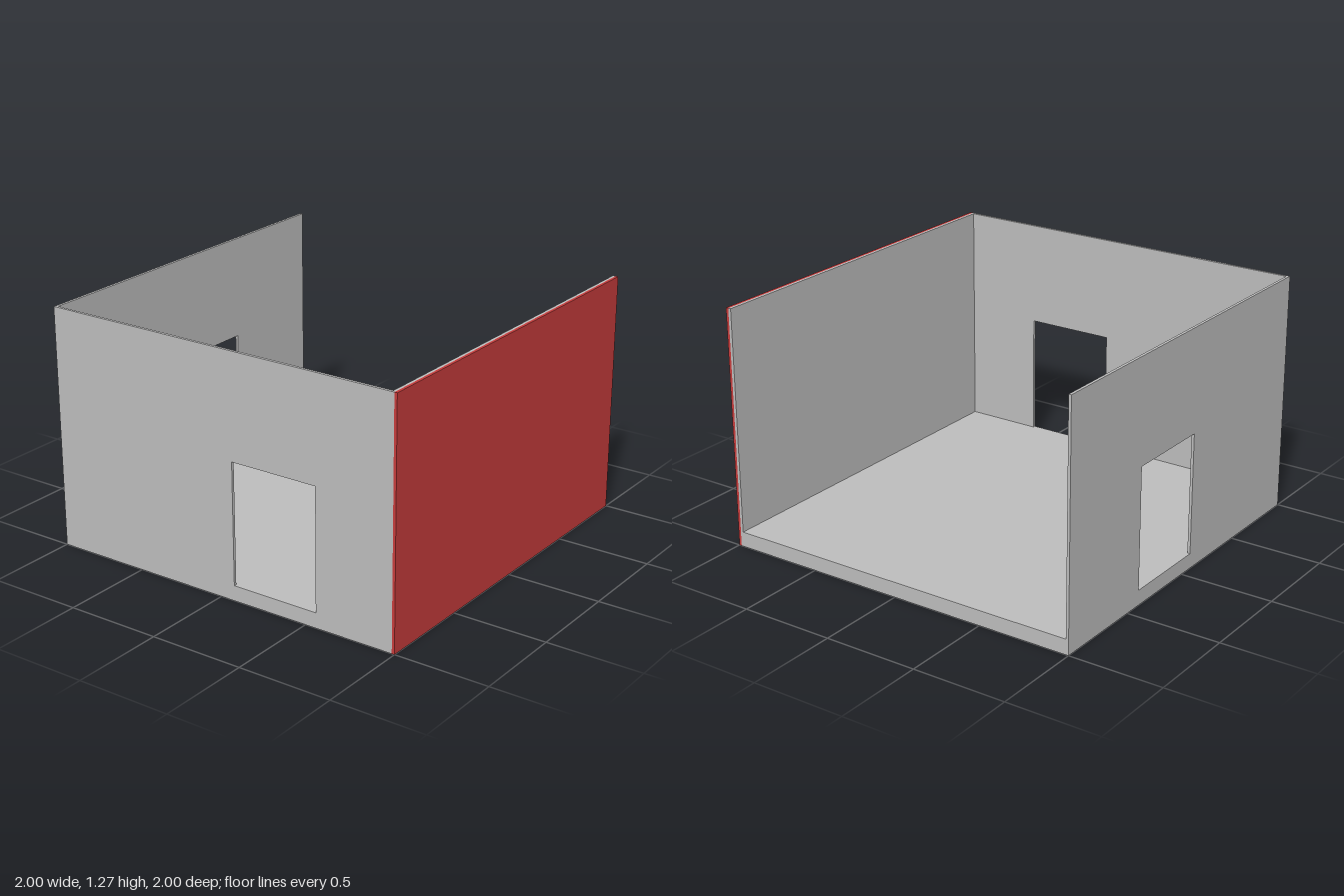
import * as THREE from 'three';

const HEIGHT = 1.27, FLOOR = 0.08, T = 0.015;

export function createModel() {
  const model = new THREE.Group();
  model.name = 'openRoom';

  const plaster = new THREE.MeshStandardMaterial({ color: 0xbebebe });
  plaster.name = 'grey plaster';
  const redPaint = new THREE.MeshStandardMaterial({ color: 0xc83c3c });
  redPaint.name = 'red cladding';

  // Box given by its minimum and maximum corners
  function box(name, material, min, max) {
    const size = max.map((v, i) => v - min[i]);
    const mesh = new THREE.Mesh(new THREE.BoxGeometry(...size), material);
    mesh.position.set(...max.map((v, i) => (v + min[i]) / 2));
    mesh.name = name;
    model.add(mesh);
  }

  // Upright wall from u0 to u1 with a doorway from d0 to d1 standing on the floor
  function doorWall(name, u0, u1, d0, d1) {
    const top = 0.72;
    const shape = new THREE.Shape([
      [u0, FLOOR], [d0, FLOOR], [d0, top], [d1, top], [d1, FLOOR],
      [u1, FLOOR], [u1, HEIGHT], [u0, HEIGHT],
    ].map(([x, y]) => new THREE.Vector2(x, y)));
    const geometry = new THREE.ExtrudeGeometry(shape, { depth: T, bevelEnabled: false });
    const mesh = new THREE.Mesh(geometry, plaster);
    mesh.name = name;
    model.add(mesh);
    return mesh;
  }

  // Floor slab
  box('floor', plaster, [-1, 0, -1], [1, FLOOR, 1 - T]);

  // Front wall with its red outer layer
  box('frontWall', plaster, [-1, FLOOR, 1 - 2 * T], [1, HEIGHT, 1 - T]);
  box('frontCladding', redPaint, [-1, 0, 1 - T], [1, HEIGHT, 1]);

  // Back wall with doorway
  doorWall('backWall', -1, 1, -0.08, 0.4).position.z = -1;

  // Right-hand wall with doorway, turned so its length runs along z
  const side = doorWall('sideWall', -1 + 2 * T, 1 - T, -0.56, -0.08);
  side.rotation.y = Math.PI / 2;
  side.position.x = -1;

  return model;
}
